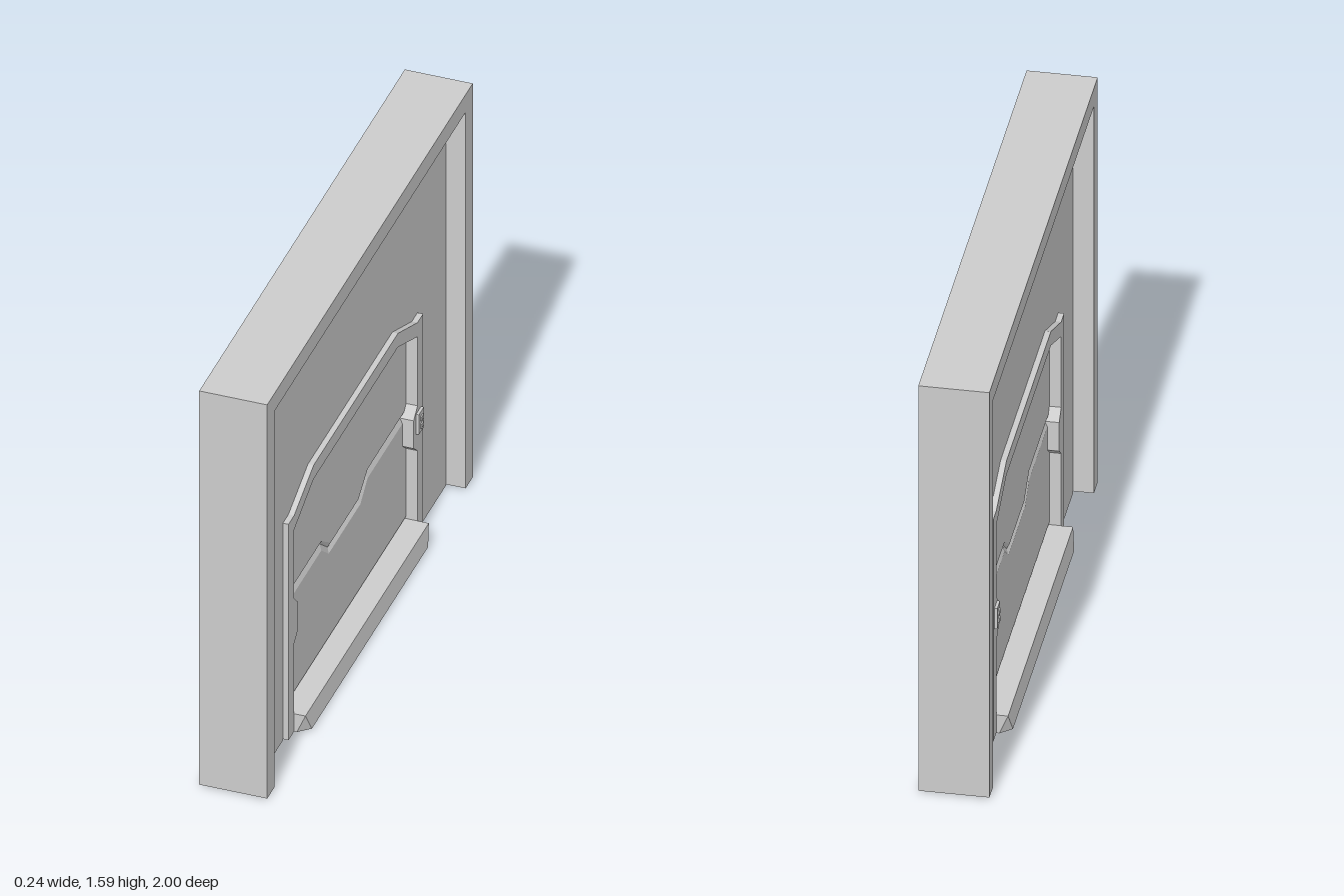
import * as THREE from 'three';
import { ConvexGeometry } from 'three/addons/geometries/ConvexGeometry.js';

const material = new THREE.MeshStandardMaterial({ color: 0xcccccc, flatShading: true });
const BASE = 0.006; // underside of everything but the wall panel

export function createModel() {
  const group = new THREE.Group();

  function add(name, geometry, x = 0, y = 0, z = 0) {
    const mesh = new THREE.Mesh(geometry, material);
    mesh.name = name;
    mesh.position.set(x, y, z);
    group.add(mesh);
  }

  // Arch-shaped slab centred on x = 0. The half outline of [z, y] points runs
  // from the top of one edge, round the foot, to the top of the other edge.
  function addSlab(name, half, thickness) {
    const outline = [...half, ...half.slice().reverse().map(([z, y]) => [-z, y])];
    const shape = new THREE.Shape(outline.map(([z, y]) => new THREE.Vector2(z, y)));
    const geometry = new THREE.ExtrudeGeometry(shape, { depth: thickness, bevelEnabled: false });
    geometry.translate(0, 0, -thickness / 2);
    geometry.rotateY(Math.PI / 2);
    add(name, geometry);
  }

  // Thick outer border: two posts and a lintel in one piece
  addSlab('wallBorder', [[0.93, 1.522], [0.93, BASE], [1, BASE], [1, 1.593]], 0.24);

  // Recessed wall panel around the doorway
  const doorway = [[0.41, 0.956], [0.6, 0.876], [0.655, 0.876]];
  addSlab('wallPanel', [...doorway, [0.655, 0], [0.93, 0], [0.93, 1.522]], 0.1);

  // Door frame with an angled head and a bump on each jamb
  addSlab('doorFrame', [
    ...doorway, [0.655, BASE], [0.6, BASE],
    [0.6, 0.36], [0.563, 0.392], [0.563, 0.504], [0.6, 0.541], [0.6, 0.819], [0.41, 0.901],
  ], 0.14);

  // Door leaf: each row is [x, outer y, dip y, dip start z, dip end z];
  // the rows form a shallow groove between the upper and lower halves
  const rows = [
    [0.03, 0.087, 0.087, 0.24, 0.155],
    [0.03, 0.483, 0.424, 0.225, 0.155],
    [0.021, 0.504, 0.439, 0.22, 0.14],
    [0.03, 0.52, 0.456, 0.225, 0.135],
    [0.03, 0.92, 0.92, 0.225, 0.135],
  ];
  const loop = [...rows, ...rows.slice().reverse().map(([x, ...rest]) => [-x, ...rest])];
  const positions = [];
  const indices = [];
  loop.forEach(([x, outerY, dipY, start, end], r) => {
    [-0.62, -start, -end, end, start, 0.62].forEach((z, i) => {
      positions.push(x, i === 2 || i === 3 ? dipY : outerY, z);
      if (i === 5) return;
      const a = r * 6 + i;
      const b = ((r + 1) % loop.length) * 6 + i;
      indices.push(a, b, b + 1, a, b + 1, a + 1);
    });
  });
  const leaf = new THREE.BufferGeometry();
  leaf.setAttribute('position', new THREE.Float32BufferAttribute(positions, 3));
  leaf.setIndex(indices);
  const leafFlat = leaf.toNonIndexed();
  leafFlat.computeVertexNormals();
  add('doorLeaf', leafFlat);

  // Door sill with sloping faces and cut-back lower corners
  const sillPoints = [];
  for (const sx of [-1, 1]) {
    for (const sz of [-1, 1]) {
      for (const [x, y, z] of [[0.11, 0.077, 0.6], [0.08, BASE, 0.6], [0.12, BASE, 0.565]]) {
        sillPoints.push(new THREE.Vector3(sx * x, y, sz * z));
      }
    }
  }
  add('doorSill', new ConvexGeometry(sillPoints));

  // Keypad on each face: backing plate and two buttons
  for (const side of [-1, 1]) {
    add('keypadPlate', new THREE.BoxGeometry(0.012, 0.08, 0.05), side * 0.074, 0.476, -0.61);
    for (const y of [0.461, 0.491]) {
      add('keypadButton', new THREE.BoxGeometry(0.006, 0.016, 0.02), side * 0.082, y, -0.61);
    }
  }

  return group;
}
